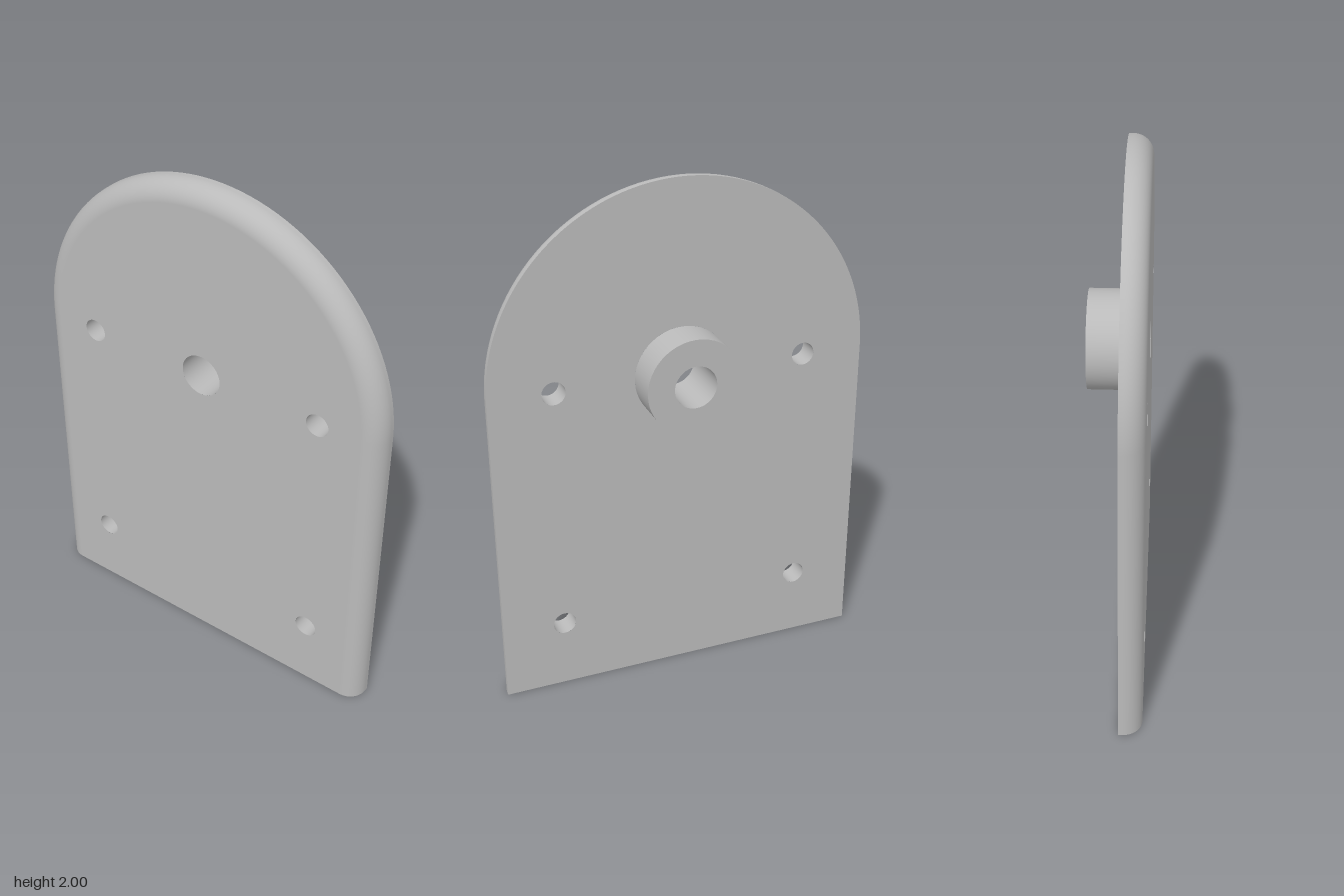
import * as THREE from 'three';

const R = 0.737;              // half width and arch radius
const CY = 1.263;             // arch centre height
const BACK = 0.024, FRONT = 0.113, BOSS_END = -0.113;
const F = 0.073;              // rounding of the front edge
const BORE = 0.082, BOSS = 0.185, SCREW = 0.045;
const SCREWS = [[-0.492, CY], [0.492, CY], [-0.492, 0.278], [0.492, 0.278]];
const ARC = 64;

// Arched outline with a central hole and four screw holes
function plateFace(radius, centreHole) {
  const s = new THREE.Shape();
  s.moveTo(-radius, 0);
  s.lineTo(radius, 0);
  s.lineTo(radius, CY);
  s.absarc(0, CY, radius, 0, Math.PI, false);
  s.closePath();
  for (const [x, y, r] of [[0, CY, centreHole], ...SCREWS.map(p => [...p, SCREW])]) {
    const hole = new THREE.Path();
    hole.absarc(x, y, r, 0, Math.PI * 2, true);
    s.holes.push(hole);
  }
  return new THREE.ShapeGeometry(s, ARC);
}

// Round wall along z: faces outward when z0 < z1, inward when z0 > z1
function wall(r, z0, z1) {
  const pts = [new THREE.Vector2(r, z0), new THREE.Vector2(r, z1)];
  return new THREE.LatheGeometry(pts, 48).rotateX(Math.PI / 2);
}

// Sides and arch: edge profile swept along the outline
function rimGeometry() {
  const path = [[0, 0]];                                   // [angle, base height]
  for (let i = 0; i <= ARC; i++) path.push([Math.PI * i / ARC, CY]);
  path.push([Math.PI, 0]);
  const profile = [[BACK, 0]];                             // [z, normal tilt]
  for (let j = 0; j <= 12; j++) {
    const a = Math.PI / 2 * j / 12;
    profile.push([FRONT - F + F * Math.sin(a), a]);
  }
  const pos = [], nor = [], idx = [], n = profile.length;
  path.forEach(([t, y], i) => profile.forEach(([z, a], j) => {
    const r = R - F + F * Math.cos(a);
    pos.push(r * Math.cos(t), y + r * Math.sin(t), z);
    nor.push(Math.cos(t) * Math.cos(a), Math.sin(t) * Math.cos(a), Math.sin(a));
    if (i < path.length - 1 && j < n - 1) {
      const p = i * n + j, q = p + n;
      idx.push(p, q, q + 1, p, q + 1, p + 1);
    }
  }));
  const g = new THREE.BufferGeometry();
  g.setAttribute('position', new THREE.Float32BufferAttribute(pos, 3));
  g.setAttribute('normal', new THREE.Float32BufferAttribute(nor, 3));
  g.setIndex(idx);
  return g;
}

// Flat underside with two rounded front corners
function bottomGeometry() {
  const s = new THREE.Shape();
  s.moveTo(-R, BACK);
  s.lineTo(R, BACK);
  s.absarc(R - F, FRONT - F, F, 0, Math.PI / 2, false);
  s.absarc(-R + F, FRONT - F, F, Math.PI / 2, Math.PI, false);
  s.closePath();
  return new THREE.ShapeGeometry(s, 12).rotateX(Math.PI / 2);
}

export function createModel() {
  const grey = new THREE.MeshStandardMaterial({ color: 0xbababa });
  grey.name = 'grey';
  const model = new THREE.Group();
  model.name = 'mountingPlate';
  const add = (name, geometry) => {
    const m = new THREE.Mesh(geometry, grey);
    m.name = name;
    model.add(m);
    return m;
  };

  // Plate
  add('plateFront', plateFace(R - F, BORE).translate(0, 0, FRONT));
  const back = plateFace(R, BOSS);
  const ix = back.index.array;
  for (let i = 0; i < ix.length; i += 3) [ix[i], ix[i + 1]] = [ix[i + 1], ix[i]];
  const n = back.attributes.normal;
  for (let i = 0; i < n.count; i++) n.setZ(i, -1);
  add('plateBack', back.translate(0, 0, BACK));
  add('plateRim', rimGeometry());
  add('plateBottom', bottomGeometry());

  // Screw holes
  for (const [x, y] of SCREWS) add('screwHole', wall(SCREW, FRONT, BACK)).position.set(x, y, 0);

  // Boss on the back with a through bore
  add('bossWall', wall(BOSS, BOSS_END, BACK)).position.y = CY;
  add('bossEnd', new THREE.RingGeometry(BORE, BOSS, 48).rotateY(Math.PI)).position.set(0, CY, BOSS_END);
  add('bore', wall(BORE, FRONT, BOSS_END)).position.y = CY;
  return model;
}
